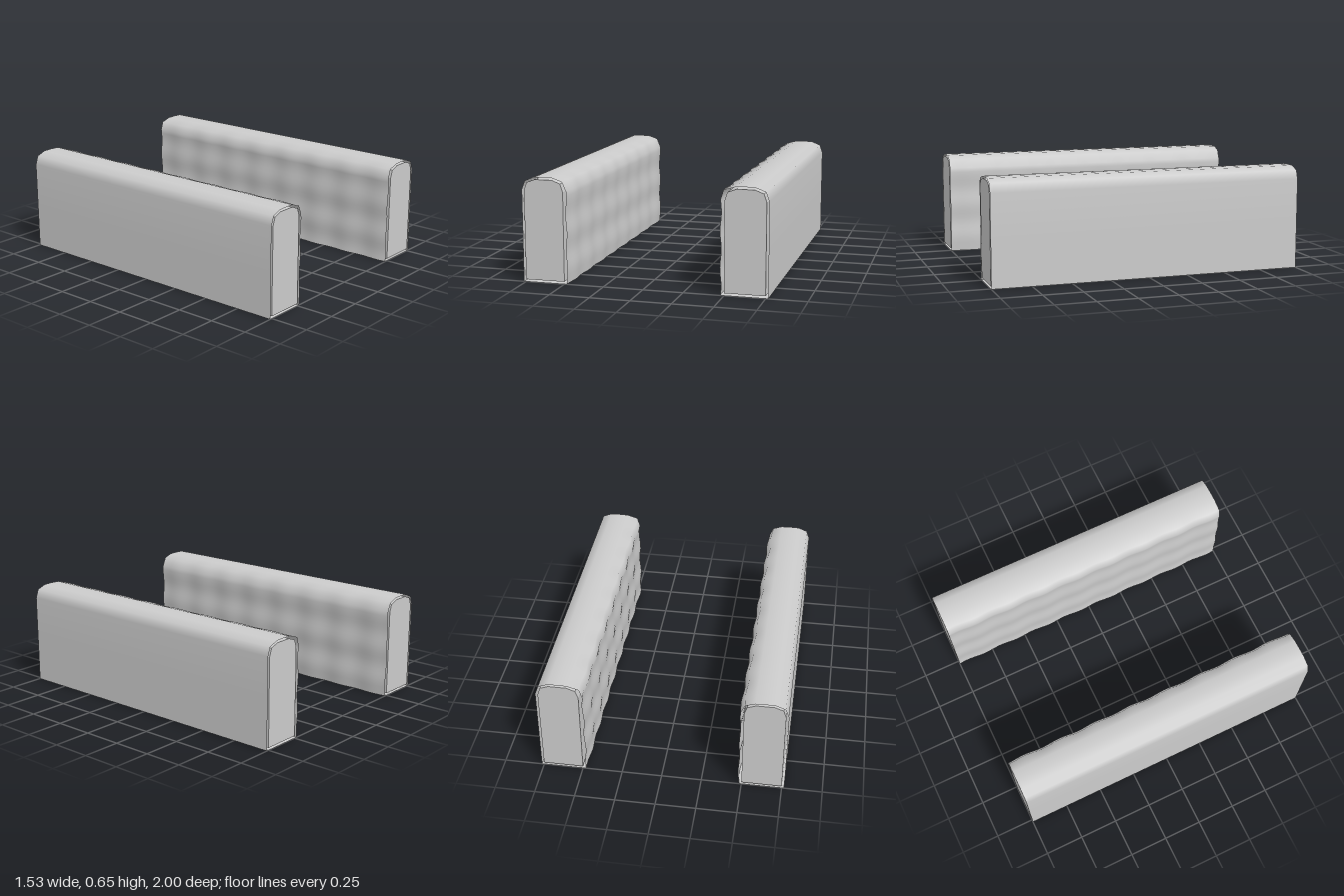
import * as THREE from 'three';

const LENGTH = 2, Z_STEPS = 96;

// Smooth sheet of rows along z; pointAt(i, z) returns [x, y]
function sheet(count, pointAt) {
  const positions = [], index = [];
  for (let j = 0; j <= Z_STEPS; j++) {
    const z = (j / Z_STEPS - 0.5) * LENGTH;
    for (let i = 0; i < count; i++) positions.push(...pointAt(i, z), z);
  }
  for (let j = 0; j < Z_STEPS; j++) {
    for (let i = 0; i < count - 1; i++) {
      const a = j * count + i, b = a + 1, c = a + count, d = c + 1;
      index.push(a, b, c, b, d, c);
    }
  }
  const geometry = new THREE.BufferGeometry();
  geometry.setAttribute('position', new THREE.Float32BufferAttribute(positions, 3));
  geometry.setIndex(index);
  geometry.computeVertexNormals();
  return geometry;
}

// Cover outline: plain outer wall, rounded top, finely divided inner wall
const outline = [[0.765, 0], [0.765, 0.29], [0.765, 0.575], [0.745, 0.63], [0.685, 0.653],
  [0.625, 0.655], [0.565, 0.653], [0.497, 0.632]];
const WALL_STEPS = 20;
for (let k = 0; k <= WALL_STEPS; k++) outline.push([0.478, 0.575 * (1 - k / WALL_STEPS)]);

// Soft ripples on the inner wall only
function ripple(x, y, z, phase) {
  if (x > 0.5) return 0;
  return 0.004 * (Math.sin(8 * Math.PI * z + phase) + Math.sin(9 * Math.PI * y + phase));
}

function buildArm(side) {
  const arm = new THREE.Group();
  arm.name = side > 0 ? 'leftArm' : 'rightArm';
  const phase = side > 0 ? 0 : 2;
  const solid = new THREE.MeshStandardMaterial({ color: 0xcccccc });
  const thin = new THREE.MeshStandardMaterial({ color: 0xcccccc, side: THREE.DoubleSide });
  const place = ([x, y], z) => [side * (x + ripple(x, y, z, phase)), y];
  const ordered = (list) => (side > 0 ? list : [...list].reverse());

  // Thin cover, open at both ends
  const wallPoints = ordered(outline);
  const cover = new THREE.Mesh(sheet(wallPoints.length, (i, z) => place(wallPoints[i], z)), thin);
  cover.name = 'cover';

  // Flat underside closing the cover, with its own sharp edges
  const basePoints = ordered([outline[outline.length - 1], outline[0]]);
  const base = new THREE.Mesh(sheet(2, (i, z) => place(basePoints[i], z)), thin);
  base.name = 'coverBase';

  // Solid core with chamfered top corners
  const half = [[0.125, 0.015], [0.125, 0.57], [0.108, 0.62], [0.055, 0.64]];
  const corners = [...half, ...half.map(([x, y]) => [-x, y]).reverse()];
  const shape = new THREE.Shape(corners.map(([x, y]) => new THREE.Vector2(x, y)));
  const coreGeometry = new THREE.ExtrudeGeometry(shape, { depth: LENGTH, bevelEnabled: false });
  coreGeometry.translate(side * 0.625, 0, -LENGTH / 2);
  const core = new THREE.Mesh(coreGeometry, solid);
  core.name = 'core';

  arm.add(cover, base, core);
  return arm;
}

export function createModel() {
  const group = new THREE.Group();
  group.name = 'armrests';
  for (const side of [1, -1]) group.add(buildArm(side));
  return group;
}
